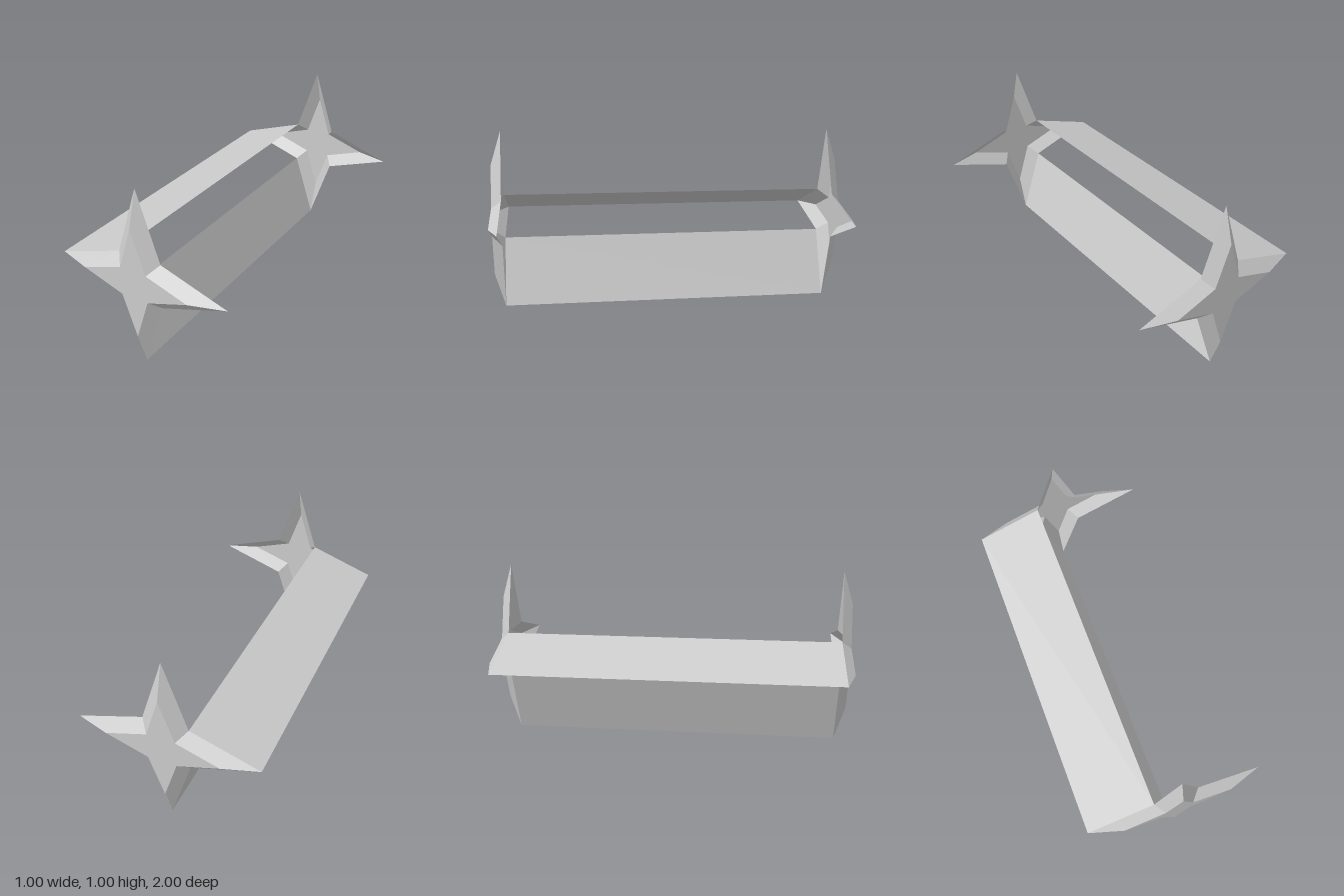
import * as THREE from 'three';

const grey = new THREE.MeshStandardMaterial({ color: 0xcccccc, side: THREE.DoubleSide, flatShading: true });
grey.name = 'grey';

const RIM_Z = 0.942, FACE_Z = 1, FACE_SCALE = 0.62;

// Four-pointed star outline, counter-clockwise, starting at the +x tip
const star = Array.from({ length: 8 }, (_, i) => {
  const r = i % 2 ? 0.125 * Math.SQRT2 : 0.5;
  return new THREE.Vector2(r * Math.cos(i * Math.PI / 4), r * Math.sin(i * Math.PI / 4));
});

// Flat-shaded mesh from four-cornered faces
function quads(name, faces) {
  const points = faces.flatMap(([a, b, c, d]) => [a, b, c, a, c, d]);
  const geometry = new THREE.BufferGeometry().setFromPoints(points);
  geometry.computeVertexNormals();
  const mesh = new THREE.Mesh(geometry, grey);
  mesh.name = name;
  return mesh;
}

// Hollow end cap: flat star face with a sloping rim, open on the inside
function starCap(name) {
  const cap = new THREE.Group();
  cap.name = name;
  const inner = star.map(p => p.clone().multiplyScalar(FACE_SCALE));
  const face = new THREE.Mesh(new THREE.ShapeGeometry(new THREE.Shape(inner)), grey);
  face.name = 'starFace';
  face.position.z = FACE_Z;
  const at = (p, z) => new THREE.Vector3(p.x, p.y, z);
  const rim = quads('starRim', star.map((p, i) => {
    const j = (i + 1) % 8;
    return [at(p, RIM_Z), at(star[j], RIM_Z), at(inner[j], FACE_Z), at(inner[i], FACE_Z)];
  }));
  cap.add(face, rim);
  return cap;
}

// Long thin panel running between the caps along one edge of the star
function sidePanel(name, i) {
  const a = star[i], b = star[(i + 1) % 8];
  const at = (p, z) => new THREE.Vector3(p.x, p.y, z);
  return quads(name, [[at(a, RIM_Z), at(a, -RIM_Z), at(b, -RIM_Z), at(b, RIM_Z)]]);
}

export function createModel() {
  const model = new THREE.Group();
  model.name = 'starPrism';
  const body = new THREE.Group();
  body.name = 'body';
  body.position.y = 0.5;
  const backCap = starCap('backCap');
  backCap.rotation.y = Math.PI;
  body.add(starCap('frontCap'), backCap, sidePanel('upperLongPanel', 3), sidePanel('lowerLongPanel', 5));
  model.add(body);
  return model;
}
